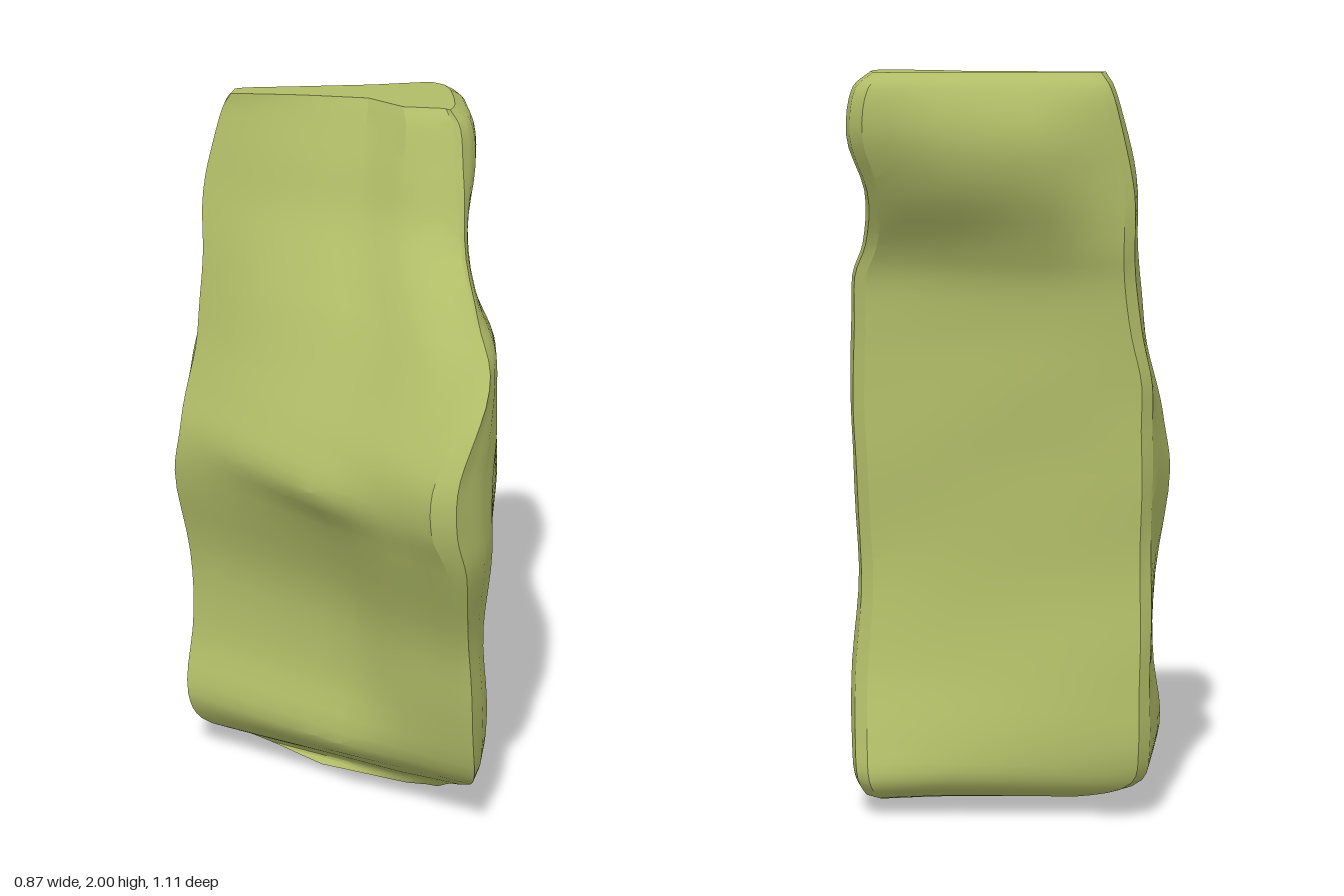
import * as THREE from 'three';
import { toCreasedNormals } from 'three/addons/utils/BufferGeometryUtils.js';

// Horizontal sections of the stone, bottom to top:
// y, front tip x z, right face x and its rear z, left edge x z, rear-left z,
// outward bulge of the slanted front
const LEVELS = [
  [0.015, 0.28, 0.04, 0.38, -0.2, -0.02, -0.12, -0.2, 0],
  [0.05, 0.31, 0.09, 0.405, -0.39, -0.22, -0.26, -0.39, 0],
  [0.11, 0.34, 0.2, 0.425, -0.44, -0.37, -0.26, -0.47, 0],
  [0.21, 0.35, 0.335, 0.43, -0.41, -0.41, -0.235, -0.5, 0.02],
  [0.4, 0.33, 0.385, 0.43, -0.335, -0.39, -0.28, -0.485, -0.025],
  [0.65, 0.31, 0.415, 0.415, -0.285, -0.39, -0.29, -0.455, -0.035],
  [0.93, 0.27, 0.53, 0.43, -0.275, -0.435, -0.25, -0.455, -0.015],
  [1.06, 0.22, 0.555, 0.435, -0.27, -0.415, -0.25, -0.455, 0.035],
  [1.18, 0.22, 0.55, 0.435, -0.265, -0.39, -0.3, -0.455, 0],
  [1.31, 0.29, 0.5, 0.435, -0.26, -0.36, -0.33, -0.455, -0.03],
  [1.45, 0.37, 0.395, 0.43, -0.27, -0.345, -0.35, -0.47, -0.05],
  [1.54, 0.36, 0.22, 0.395, -0.32, -0.34, -0.36, -0.485, -0.05],
  [1.69, 0.35, -0.005, 0.385, -0.43, -0.335, -0.38, -0.49, -0.045],
  [1.84, 0.345, -0.09, 0.425, -0.495, -0.31, -0.4, -0.5, -0.05],
  [1.96, 0.345, -0.15, 0.41, -0.495, -0.275, -0.41, -0.49, -0.06],
  [2.0, 0.33, -0.19, 0.365, -0.46, -0.25, -0.405, -0.46, -0.06],
];

// Corner points of one section, running from the front tip round the left side
function section([y, tx, tz, xr, zr, xl, zl, zb, slant]) {
  const mix = THREE.MathUtils.lerp;
  const diag = (t, k) => [mix(tx, xl, t) - slant * k, mix(tz, zl, t) + slant * k];
  const side = (u, v) => [mix(tx, xr, u), mix(tz, zr, v)];
  const rearX = Math.max(xl, -0.39) + 0.045;
  // The head overhangs at the back
  const back = 0.06 * Math.sin(Math.PI * Math.max(0, y - 1.5) / 0.5);
  return [
    [tx, tz - 0.015], diag(0.2, 0), diag(0.43, 0.75), diag(0.7, 0.45), [xl, zl],
    [rearX - 0.03, mix(zl, zb, 0.85)], [rearX, zb],
    [mix(xl, xr, 0.33), mix(zb, zr, 0.3) - back],
    [mix(xl, xr, 0.66), mix(zb, zr, 0.65) - back * 0.8],
    [xr - 0.045, zr - 0.015], [xr - 0.012, zr + 0.015], [xr, zr + 0.07],
    side(1, 0.45), side(0.85, 0.2), side(0.65, 0.1), side(0.3, 0),
  ].map(([x, z]) => new THREE.Vector3(x, y, z));
}

function stoneGeometry() {
  const sections = LEVELS.map(section);
  const corners = sections[0].length, rows = 60, split = 3, around = corners * split;
  // Smooth lengthwise curve through each corner
  const rails = Array.from({ length: corners }, (_, i) =>
    new THREE.CatmullRomCurve3(sections.map((s) => s[i])));
  const positions = [], index = [];
  for (let j = 0; j <= rows; j++) {
    const ring = rails.map((r) => r.getPoint(j / rows));
    for (let i = 0; i < around; i++) {
      const p = ring[Math.floor(i / split)].clone()
        .lerp(ring[(Math.floor(i / split) + 1) % corners], (i % split) / split);
      // Slight hewn unevenness
      const n = 0.004 * Math.sin(11 * p.x + 9 * p.y) * Math.sin(13 * p.z - 7 * p.y + 1);
      positions.push(p.x + n, Math.min(p.y, 2), p.z + n);
    }
  }
  for (let j = 0; j < rows; j++) {
    for (let i = 0; i < around; i++) {
      const a = j * around + i, b = j * around + (i + 1) % around;
      index.push(a, a + around, b, b, a + around, b + around);
    }
  }
  // End caps
  const bottom = positions.length / 3, top = bottom + 1, last = rows * around;
  positions.push(0.2, 0, -0.07, 0.12, 2, -0.39);
  for (let i = 0; i < around; i++) {
    const n = (i + 1) % around;
    index.push(bottom, i, n, top, last + n, last + i);
  }
  const geometry = new THREE.BufferGeometry();
  geometry.setAttribute('position', new THREE.Float32BufferAttribute(positions, 3));
  geometry.setIndex(index);
  return toCreasedNormals(geometry, 0.45);
}

export function createModel() {
  const group = new THREE.Group();
  group.name = 'standingStone';
  const stone = new THREE.Mesh(stoneGeometry(), new THREE.MeshStandardMaterial({ color: 0xb0bc67 }));
  stone.name = 'stone';
  group.add(stone);
  return group;
}
